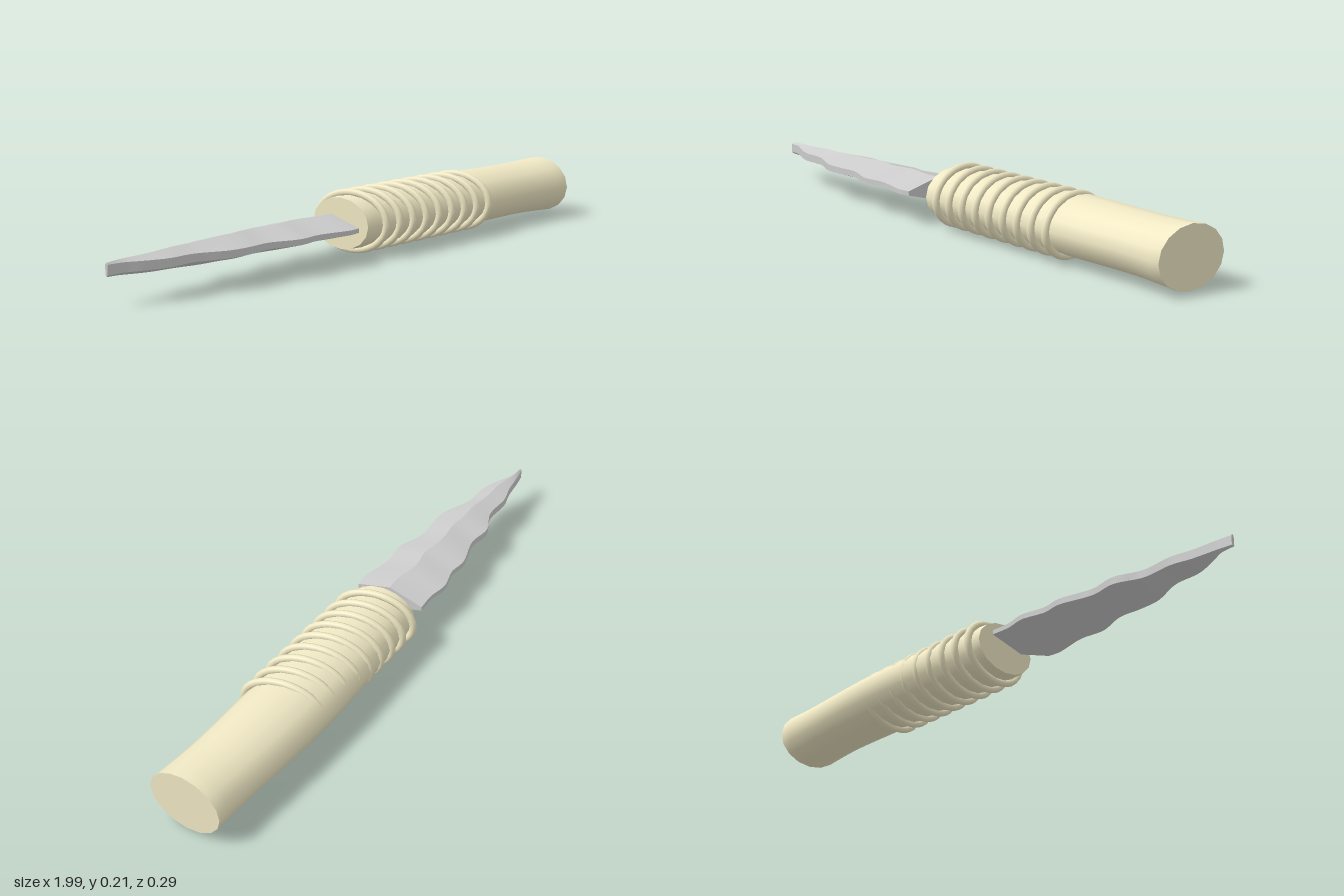
import * as THREE from 'three';
import { toCreasedNormals } from 'three/addons/utils/BufferGeometryUtils.js';

const MID_Y = 0.106;

// Skin a list of equal-length rings running along +x, with both ends capped
function loft(rings, crease) {
  const n = rings[0].length;
  const position = [];
  const tri = (...pts) => pts.forEach((p) => position.push(p.x, p.y, p.z));
  for (let i = 0; i < rings.length - 1; i++) {
    for (let j = 0; j < n; j++) {
      const k = (j + 1) % n;
      const a = rings[i][j], b = rings[i][k], c = rings[i + 1][j], d = rings[i + 1][k];
      tri(a, b, c);
      tri(b, d, c);
    }
  }
  const first = rings[0], last = rings[rings.length - 1];
  for (let j = 1; j < n - 1; j++) {
    tri(first[0], first[j + 1], first[j]);
    tri(last[0], last[j], last[j + 1]);
  }
  const geometry = new THREE.BufferGeometry();
  geometry.setAttribute('position', new THREE.Float32BufferAttribute(position, 3));
  return toCreasedNormals(geometry, crease);
}

// Smooth lookup through [x, value] stations
function profile(stations) {
  const curve = new THREE.SplineCurve(stations.map(([x, v]) => new THREE.Vector2(x, v)));
  const points = curve.getPoints(stations.length * 12);
  return (x) => {
    let i = 1;
    while (i < points.length - 1 && points[i].x < x) i++;
    const a = points[i - 1], b = points[i];
    return THREE.MathUtils.lerp(a.y, b.y, THREE.MathUtils.clamp((x - a.x) / (b.x - a.x), 0, 1));
  };
}

// Oval grip that bulges toward the back, with slightly slanted ends
function handleGeometry() {
  const back = profile([[-0.06, -0.113], [0.1, -0.126], [0.3, -0.14], [0.48, -0.145], [0.65, -0.139], [0.85, -0.126], [0.99, -0.12]]);
  const front = profile([[-0.06, 0.115], [0.1, 0.121], [0.5, 0.12], [0.8, 0.116], [0.99, 0.127]]);
  const half = profile([[-0.06, 0.083], [0.1, 0.089], [0.5, 0.091], [0.8, 0.089], [0.93, 0.093], [0.99, 0.096]]);
  const rings = [];
  for (let i = 0; i <= 24; i++) {
    const t = i / 24, x = -0.06 + 1.05 * t;
    const zMid = (front(x) + back(x)) / 2, zHalf = (front(x) - back(x)) / 2;
    const ring = [];
    for (let j = 0; j < 16; j++) {
      const a = (j / 16) * Math.PI * 2;
      const z = zMid + zHalf * Math.sin(a);
      ring.push(new THREE.Vector3(x + z * (0.04 - 0.08 * t), MID_Y + half(x) * Math.cos(a), z));
    }
    rings.push(ring);
  }
  return loft(rings, 0.7);
}

// Wavy double-edged blade: ridged middle, narrow blunt edges
function bladeGeometry() {
  const back = profile([[-1, 0], [-0.95, -0.009], [-0.87, -0.02], [-0.8, -0.037], [-0.7, -0.037], [-0.61, -0.073],
    [-0.52, -0.066], [-0.41, -0.096], [-0.34, -0.091], [-0.26, -0.11], [-0.19, -0.1], [-0.12, -0.104]]);
  const front = profile([[-1, 0.01], [-0.95, 0.014], [-0.89, 0.04], [-0.82, 0.062], [-0.73, 0.064], [-0.63, 0.102],
    [-0.55, 0.106], [-0.47, 0.1], [-0.37, 0.13], [-0.28, 0.121], [-0.17, 0.14], [-0.12, 0.135]]);
  const half = profile([[-1, 0.02], [-0.85, 0.028], [-0.7, 0.034], [-0.5, 0.039], [-0.12, 0.039]]);
  const rings = [];
  for (let i = 0; i <= 48; i++) {
    const x = -1 + (0.88 * i) / 48;
    const f = front(x), b = back(x), h = half(x);
    const ridge = (f + b) / 2, edge = THREE.MathUtils.lerp(0.015, 0.007, i / 48);
    rings.push([[h, ridge], [edge, f], [-edge, f], [-h, ridge], [-edge, b], [edge, b]]
      .map(([y, z]) => new THREE.Vector3(x, MID_Y + 0.003 + y, z)));
  }
  return loft(rings, 0.45);
}

// Slanted oval cord ring, partly sunk into the back of the grip
function ringGeometry() {
  const points = [];
  for (let j = 0; j < 16; j++) {
    const a = (j / 16) * Math.PI * 2;
    const z = 0.129 * Math.sin(a);
    points.push(new THREE.Vector3(z * 0.165, 0.092 * Math.cos(a), z));
  }
  const path = new THREE.CatmullRomCurve3(points, true);
  return new THREE.TubeGeometry(path, 32, 0.012, 8, true);
}

export function createModel() {
  const model = new THREE.Group();
  const ivory = new THREE.MeshStandardMaterial({ color: 0xf0e8c4 });
  const steel = new THREE.MeshStandardMaterial({ color: 0xcccccc });

  const add = (name, geometry, material, parent = model) => {
    const mesh = new THREE.Mesh(geometry, material);
    mesh.name = name;
    parent.add(mesh);
    return mesh;
  };

  add('handle', handleGeometry(), ivory);
  add('blade', bladeGeometry(), steel);

  // Nine evenly spaced grip rings
  const grip = new THREE.Group();
  grip.name = 'gripRings';
  model.add(grip);
  const ring = ringGeometry();
  for (let i = 0; i < 9; i++) {
    add('gripRing', ring, ivory, grip).position.set(-0.007 + 0.0645 * i, MID_Y, 0.001);
  }
  return model;
}
